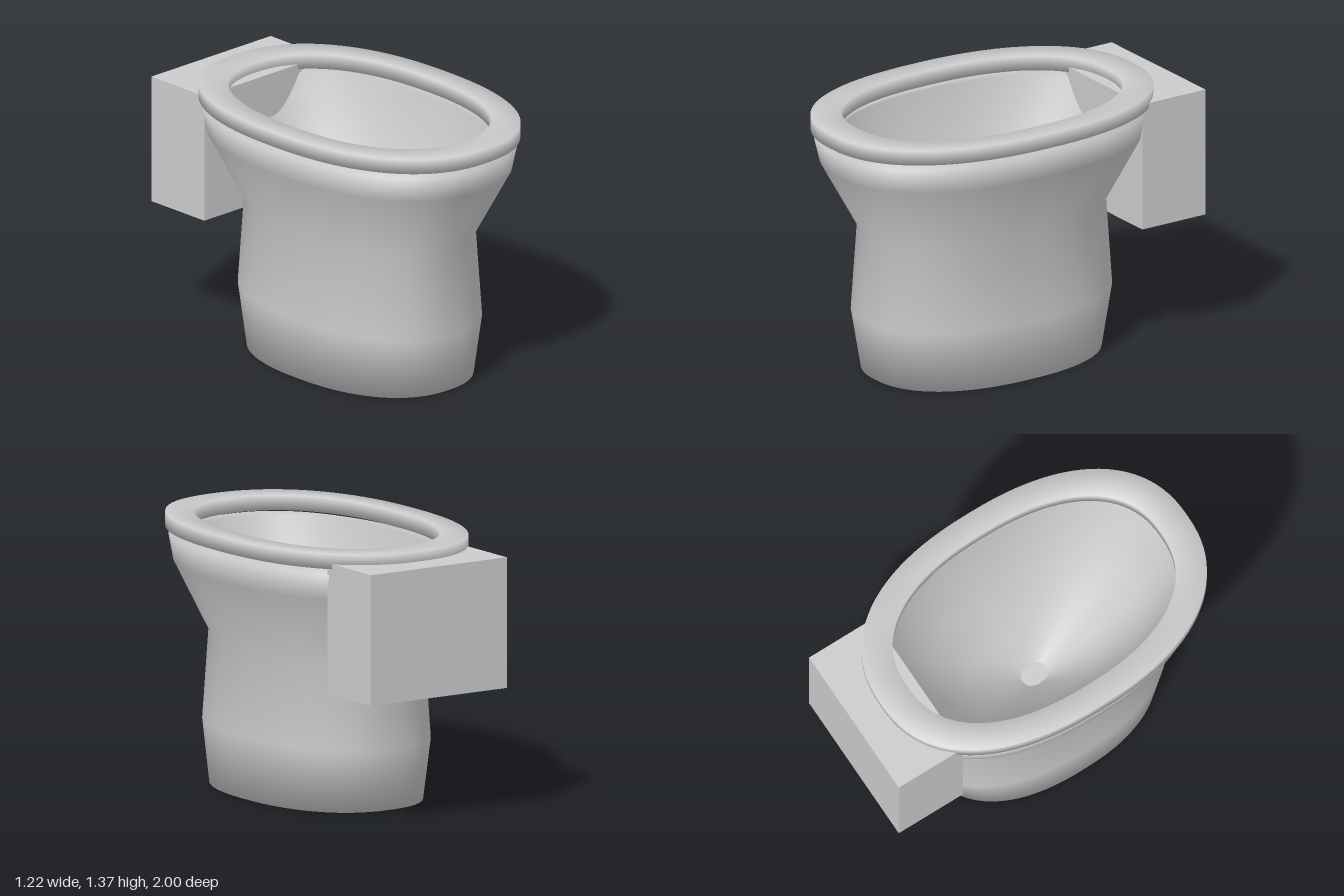
import * as THREE from 'three';

const SEGMENTS = 96;
const CENTRE_Z = 0.08;
const POWER = 2.33; // superellipse exponent, a little squarer than an oval

// Skins a list of oval rings [halfWidth, y, halfLength, centreZ]; the order sets the outside.
function loft(rings, closed = false) {
  const points = [];
  const faces = [];
  const bend = (v) => Math.sign(v) * Math.pow(Math.abs(v), 2 / POWER);
  for (const [w, y, l, cz = CENTRE_Z] of rings) {
    for (let i = 0; i < SEGMENTS; i++) {
      const a = (i / SEGMENTS) * Math.PI * 2;
      points.push(w * bend(Math.sin(a)), y, cz + l * bend(Math.cos(a)));
    }
  }
  const bands = closed ? rings.length : rings.length - 1;
  for (let r = 0; r < bands; r++) {
    const next = (r + 1) % rings.length;
    for (let i = 0; i < SEGMENTS; i++) {
      const j = (i + 1) % SEGMENTS;
      const a = r * SEGMENTS + i, b = r * SEGMENTS + j;
      const c = next * SEGMENTS + j, d = next * SEGMENTS + i;
      faces.push(a, b, c, a, c, d);
    }
  }
  const geometry = new THREE.BufferGeometry();
  geometry.setAttribute('position', new THREE.Float32BufferAttribute(points, 3));
  geometry.setIndex(faces);
  geometry.computeVertexNormals();
  return geometry;
}

export function createModel() {
  const model = new THREE.Group();
  model.name = 'toilet';
  const ceramic = new THREE.MeshStandardMaterial({ color: 0xcccccc });
  ceramic.name = 'grey ceramic';

  const add = (name, geometry) => {
    const mesh = new THREE.Mesh(geometry, ceramic);
    mesh.name = name;
    model.add(mesh);
    return mesh;
  };

  // Pedestal, rim and bowl as one continuous skin, from the base centre to the drain
  add('pedestalAndBowl', loft([
    [0.001, 0, 0.001],
    [0.435, 0, 0.645, 0.085],
    [0.452, 0.32, 0.707, 0.083],
    [0.42, 0.78, 0.678, 0.083],
    [0.58, 1.13, 0.872],
    [0.597, 1.26, 0.905],
    [0.49, 1.287, 0.79],
    [0.487, 1.27, 0.765],
    [0.45, 1.1, 0.705],
    [0.36, 0.85, 0.56],
    [0.22, 0.6, 0.34],
    [0.055, 0.42, 0.07],
  ]));

  // Flat drain at the bottom of the bowl
  add('drain', loft([[0.055, 0.42, 0.07], [0.001, 0.42, 0.001]]));

  // Seat ring with a rectangular section and softened shading
  add('seat', loft([
    [0.485, 1.295, 0.76],
    [0.612, 1.295, 0.92],
    [0.612, 1.372, 0.92],
    [0.485, 1.372, 0.76],
  ], true));

  // Cistern set into the back of the bowl
  const tank = add('cistern', new THREE.BoxGeometry(0.83, 0.67, 0.385));
  tank.position.set(0, 0.985, -0.8075);

  return model;
}
